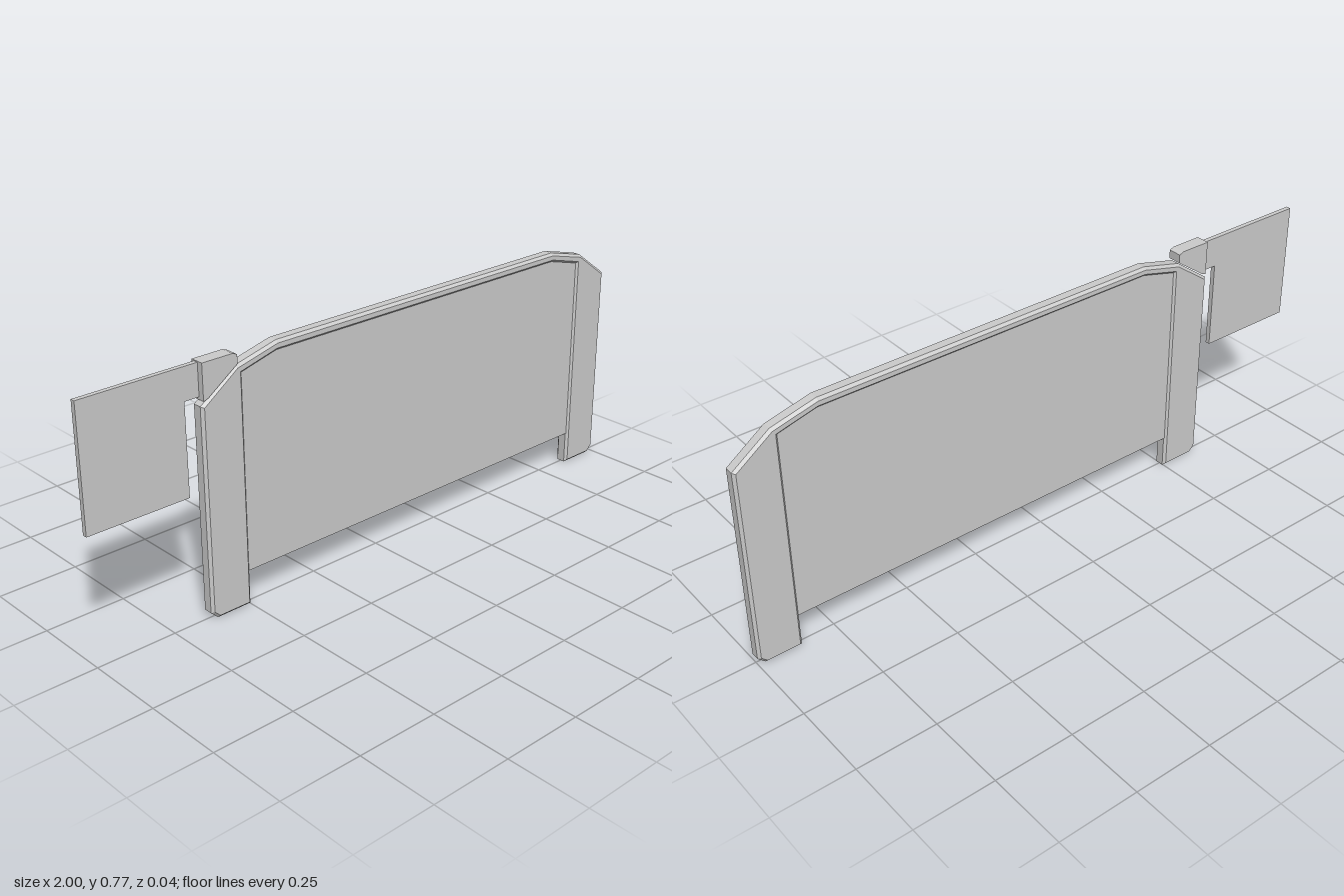
import * as THREE from 'three';

const MID = 0.182; // centre line of the barrier body

// Closed shape from x, y pairs
const shapeOf = (pts) => new THREE.Shape(pts.map(([x, y]) => new THREE.Vector2(x, y)));

// Right-hand half outline, mirrored about the body's centre line
const mirrored = (half) => [
  ...half.map(([x, y]) => [MID + x, y]),
  ...half.slice().reverse().map(([x, y]) => [MID - x, y]),
];

// Plate of total thickness t centred on z, with an optional bevel inside the outline
function plate(name, pts, t, z = 0, bevel = 0) {
  const geo = new THREE.ExtrudeGeometry(shapeOf(pts), {
    depth: t - 2 * bevel,
    bevelEnabled: bevel > 0,
    bevelThickness: bevel,
    bevelSize: bevel,
    bevelOffset: -bevel,
    bevelSegments: 1,
  });
  geo.translate(0, 0, z - t / 2 + bevel);
  const mesh = new THREE.Mesh(geo, new THREE.MeshStandardMaterial({ color: 0xcccccc }));
  mesh.name = name;
  return mesh;
}

export function createModel() {
  const group = new THREE.Group();
  group.name = 'barrier';

  // Bevelled frame: two posts with feet, joined by the top rail
  const outer = [[0.795, 0], [0.818, 0.022], [0.818, 0.645], [0.7, 0.73], [0.56, 0.765]];
  const inner = [[0.56, 0.735], [0.68, 0.704], [0.68, 0]];
  const right = outer.map(([x, y]) => [MID + x, y]);
  const left = outer.slice().reverse().map(([x, y]) => [MID - x, y]);
  const innerLeft = inner.slice().reverse().map(([x, y]) => [MID - x, y]);
  const innerRight = inner.map(([x, y]) => [MID + x, y]);
  group.add(plate('frame', [...right, ...left, ...innerLeft, ...innerRight], 0.043, 0, 0.008));

  // Recessed panel filling the frame
  const panel = mirrored([[0.695, 0.105], [0.695, 0.715], [0.56, 0.75]]);
  group.add(plate('panel', panel, 0.03));

  // Bracket resting on the frame's shoulder
  const bracket = [[-0.63, 0.66], [-0.615, 0.665], [-0.515, 0.735], [-0.515, 0.762], [-0.53, 0.768], [-0.63, 0.768]];
  group.add(plate('bracket', bracket, 0.043));

  // Thin side sign with its mounting tab
  const sign = [[-1, 0.39], [-0.677, 0.39], [-0.677, 0.668], [-0.62, 0.668], [-0.62, 0.765], [-1, 0.765]];
  group.add(plate('sideSign', sign, 0.015, -0.005));

  return group;
}
